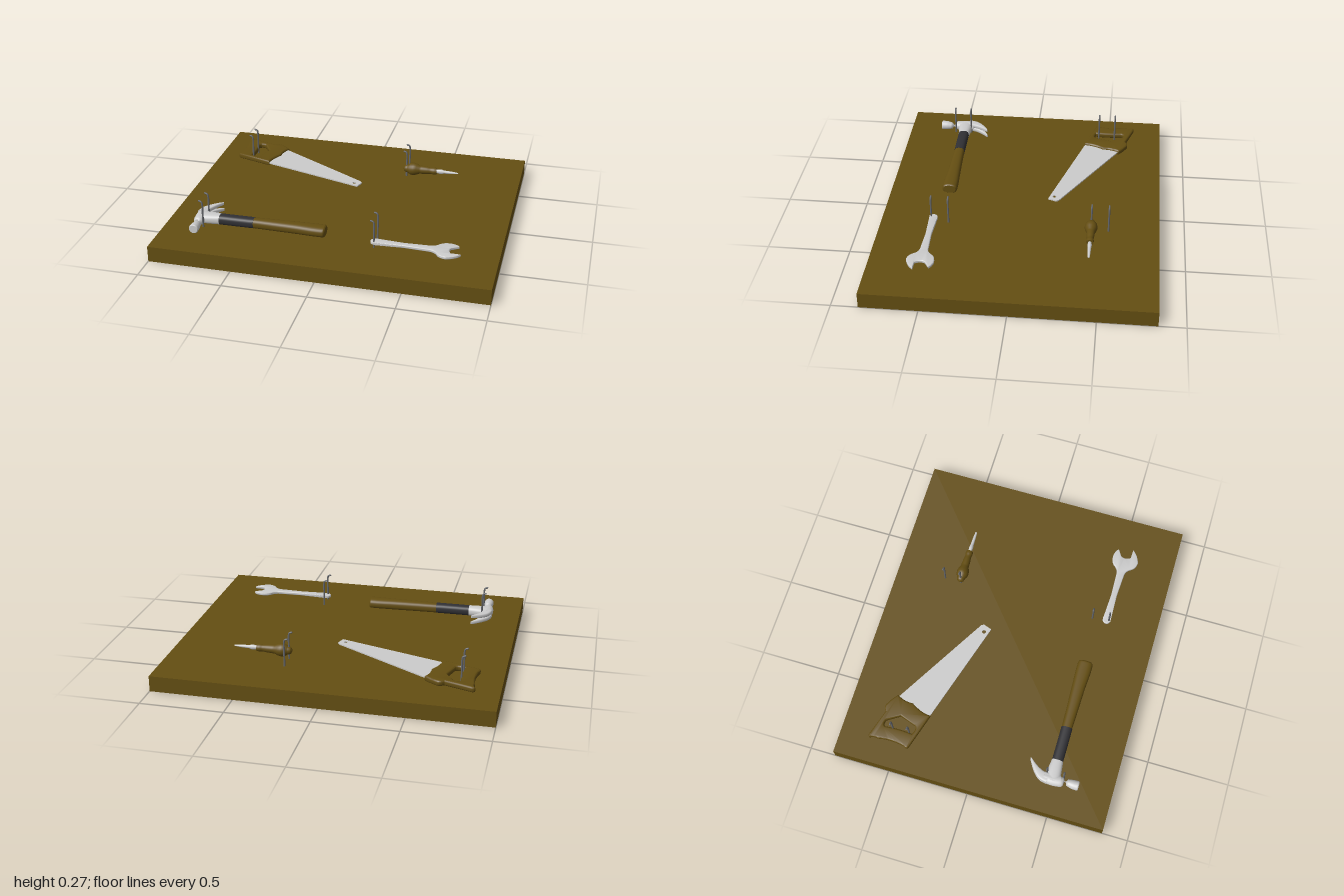
import * as THREE from 'three';
import { toCreasedNormals } from 'three/addons/utils/BufferGeometryUtils.js';

const steel = new THREE.MeshStandardMaterial({ color: 0xcccccc });
const wood = new THREE.MeshStandardMaterial({ color: 0x644e12 });
const rubber = new THREE.MeshStandardMaterial({ color: 0x303034 });
const pegMetal = new THREE.MeshStandardMaterial({ color: 0x66686c });

function part(parent, name, geometry, material) {
  const mesh = new THREE.Mesh(geometry, material);
  mesh.name = name;
  parent.add(mesh);
  return mesh;
}

function group(parent, name) {
  const g = new THREE.Group();
  g.name = name;
  parent.add(g);
  return g;
}

const v2 = (pts) => pts.map(([x, z]) => new THREE.Vector2(x, z));

// Flat outline in x/z, given thickness between two heights.
function slab(shape, y0, y1, bevel = 0) {
  const geo = new THREE.ExtrudeGeometry(shape, {
    depth: y1 - y0 - 2 * bevel, curveSegments: 12,
    bevelEnabled: bevel > 0, bevelSize: bevel, bevelThickness: bevel,
    bevelOffset: -bevel, bevelSegments: 3,
  });
  geo.rotateX(Math.PI / 2).translate(0, y1 - bevel, 0);
  return toCreasedNormals(geo, 0.6);
}

function circleHole(x, z, r) {
  return new THREE.Path().absarc(x, z, r, 0, Math.PI * 2, true);
}

// Rounded body through stations [x, y, z, halfWidth, halfHeight], swept in x/z.
function loft(stations, sides = 24, power = 1) {
  const path = new THREE.CatmullRomCurve3(stations.map(([x, y, z]) => new THREE.Vector3(x, y, z)));
  const size = new THREE.CatmullRomCurve3(stations.map((s) => new THREE.Vector3(s[3], s[4], 0)));
  const steps = (stations.length - 1) * 4;
  const pos = [], index = [];
  const round = (c) => Math.sign(c) * Math.abs(c) ** power;
  const ring = (t) => {
    const p = path.getPoint(t), d = path.getTangent(t), s = size.getPoint(t);
    const l = Math.hypot(d.x, d.z);
    for (let j = 0; j < sides; j++) {
      const a = (j / sides) * Math.PI * 2;
      const w = round(Math.cos(a)) * s.x, h = round(Math.sin(a)) * s.y;
      pos.push(p.x + (d.z / l) * w, p.y + h, p.z - (d.x / l) * w);
    }
    return p;
  };
  for (let i = 0; i <= steps; i++) ring(i / steps);
  for (let i = 0; i < steps; i++) {
    for (let j = 0; j < sides; j++) {
      const k = (j + 1) % sides;
      const a = i * sides + j, b = i * sides + k;
      index.push(a, b, a + sides, b, b + sides, a + sides);
    }
  }
  for (const end of [0, 1]) {
    const start = pos.length / 3;
    const c = ring(end);
    pos.push(c.x, c.y, c.z);
    for (let j = 0; j < sides; j++) {
      const a = start + j, b = start + ((j + 1) % sides);
      if (end) index.push(start + sides, a, b);
      else index.push(start + sides, b, a);
    }
  }
  const geo = new THREE.BufferGeometry();
  geo.setAttribute('position', new THREE.Float32BufferAttribute(pos, 3));
  geo.setIndex(index);
  geo.computeVertexNormals();
  return geo;
}

function addSaw(root) {
  const saw = group(root, 'saw');
  const blade = new THREE.Shape(v2([[-0.6, -0.585], [0.02, -0.22], [0.03, -0.205], [0.012, -0.152], [-0.66, -0.355]]));
  blade.holes.push(circleHole(-0.016, -0.19, 0.012));
  part(saw, 'sawBlade', slab(blade, 0.119, 0.127), steel);

  // Grip with a finger opening
  const grip = new THREE.Shape();
  grip.moveTo(-0.86, -0.655);
  grip.quadraticCurveTo(-0.85, -0.67, -0.83, -0.66);
  grip.lineTo(-0.68, -0.612);
  grip.quadraticCurveTo(-0.66, -0.63, -0.64, -0.625);
  grip.quadraticCurveTo(-0.59, -0.6, -0.56, -0.572);
  grip.quadraticCurveTo(-0.59, -0.52, -0.585, -0.47);
  grip.quadraticCurveTo(-0.63, -0.4, -0.63, -0.342);
  grip.lineTo(-0.855, -0.41);
  grip.quadraticCurveTo(-0.87, -0.42, -0.855, -0.44);
  grip.quadraticCurveTo(-0.835, -0.53, -0.853, -0.605);
  grip.quadraticCurveTo(-0.845, -0.63, -0.86, -0.655);
  const opening = new THREE.Path();
  opening.moveTo(-0.77, -0.585);
  opening.quadraticCurveTo(-0.76, -0.605, -0.73, -0.59);
  opening.lineTo(-0.682, -0.515);
  opening.lineTo(-0.715, -0.415);
  opening.quadraticCurveTo(-0.73, -0.395, -0.77, -0.415);
  opening.quadraticCurveTo(-0.76, -0.5, -0.77, -0.585);
  grip.holes.push(opening);
  part(saw, 'sawGrip', slab(grip, 0.106, 0.14, 0.01), wood);
}

function addHammer(root) {
  const hammer = group(root, 'hammer');
  const y = 0.128;
  part(hammer, 'hammerHandle', loft([
    [-0.48, y, 0.472, 0.032, 0.03], [-0.35, y, 0.472, 0.036, 0.031], [-0.2, y, 0.471, 0.041, 0.032],
    [-0.08, y, 0.472, 0.047, 0.032], [-0.038, y, 0.472, 0.046, 0.032], [-0.029, y, 0.472, 0.037, 0.026],
  ], 28, 0.8), wood);
  part(hammer, 'hammerGrip', loft([[-0.685, y, 0.473, 0.034, 0.031], [-0.58, y, 0.473, 0.034, 0.031], [-0.468, y, 0.472, 0.034, 0.031]], 28, 0.8), rubber);
  part(hammer, 'hammerSocket', loft([[-0.81, y, 0.475, 0.045, 0.029], [-0.75, y, 0.473, 0.043, 0.031], [-0.68, y, 0.473, 0.035, 0.031]], 28, 0.8), steel);
  // Striking face, neck and cheek
  part(hammer, 'hammerHead', loft([
    [-0.793, y, 0.636, 0.025, 0.025], [-0.793, y, 0.63, 0.029, 0.029], [-0.793, y, 0.6, 0.028, 0.028],
    [-0.791, y, 0.565, 0.021, 0.021], [-0.79, y, 0.54, 0.021, 0.021], [-0.795, y, 0.525, 0.034, 0.028],
    [-0.798, y, 0.47, 0.037, 0.03], [-0.796, y, 0.42, 0.031, 0.03],
  ]), steel);
  // Forked claw
  for (const s of [-1, 1]) {
    part(hammer, 'hammerClaw', loft([
      [-0.8, y + s * 0.014, 0.45, 0.033, 0.015], [-0.795, y + s * 0.014, 0.41, 0.028, 0.015],
      [-0.772, y + s * 0.015, 0.373, 0.02, 0.014], [-0.742, y + s * 0.018, 0.342, 0.011, 0.012],
      [-0.712, y + s * 0.021, 0.317, 0.003, 0.009],
    ], 16, 0.6), steel);
  }
}

function addScrewdriver(root) {
  const driver = group(root, 'screwdriver');
  const y = 0.15, z = -0.433;
  const along = (list) => list.map(([x, w, h]) => [x, y, z, w, h]);
  part(driver, 'screwdriverHandle', loft(along([
    [0.256, 0.008, 0.008], [0.264, 0.02, 0.02], [0.285, 0.026, 0.027], [0.36, 0.026, 0.027], [0.41, 0.023, 0.024],
    [0.435, 0.02, 0.021], [0.455, 0.023, 0.023], [0.472, 0.021, 0.021],
  ])), wood);
  part(driver, 'screwdriverShaft', loft(along([
    [0.46, 0.01, 0.01], [0.52, 0.01, 0.01], [0.57, 0.009, 0.008], [0.612, 0.006, 0.003],
  ]), 16), steel);
}

function addWrench(root) {
  const wrench = group(root, 'wrench');
  const outline = new THREE.Shape();
  outline.moveTo(0.275, 0.498);
  outline.lineTo(0.45, 0.507);
  outline.lineTo(0.6, 0.502);
  outline.quadraticCurveTo(0.63, 0.5, 0.65, 0.472);
  outline.quadraticCurveTo(0.675, 0.447, 0.72, 0.451);
  outline.quadraticCurveTo(0.755, 0.458, 0.765, 0.475);
  outline.lineTo(0.722, 0.502);
  outline.quadraticCurveTo(0.705, 0.53, 0.728, 0.562);
  outline.lineTo(0.785, 0.564);
  outline.quadraticCurveTo(0.76, 0.6, 0.705, 0.615);
  outline.quadraticCurveTo(0.67, 0.612, 0.653, 0.59);
  outline.quadraticCurveTo(0.635, 0.555, 0.6, 0.551);
  outline.lineTo(0.45, 0.543);
  outline.lineTo(0.275, 0.548);
  outline.absarc(0.277, 0.523, 0.025, Math.PI / 2, Math.PI * 1.5, false);
  outline.holes.push(circleHole(0.272, 0.523, 0.012));
  part(wrench, 'wrenchBody', slab(outline, 0.117, 0.135, 0.005), steel);
}

// Upright pegs with a short bent tip
function addPegs(root) {
  const pegs = group(root, 'pegs');
  for (const x of [-0.767, 0.275]) {
    for (const z of [-0.537, -0.433, 0.433, 0.537]) {
      const path = new THREE.CatmullRomCurve3([
        [x, 0.06], [x, 0.15], [x, 0.25], [x - 0.004, 0.263], [x - 0.018, 0.268],
      ].map(([px, py]) => new THREE.Vector3(px, py, z)));
      part(pegs, 'peg', new THREE.TubeGeometry(path, 24, 0.0055, 10), pegMetal);
      const tip = part(pegs, 'pegTip', new THREE.SphereGeometry(0.0055, 10, 8), pegMetal);
      tip.position.set(x - 0.018, 0.268, z);
    }
  }
}

export function createModel() {
  const root = new THREE.Group();
  root.name = 'toolBoard';
  const board = part(root, 'board', new THREE.BoxGeometry(2, 0.096, 1.685), wood);
  board.position.y = 0.048;
  addSaw(root);
  addHammer(root);
  addScrewdriver(root);
  addWrench(root);
  addPegs(root);
  return root;
}
